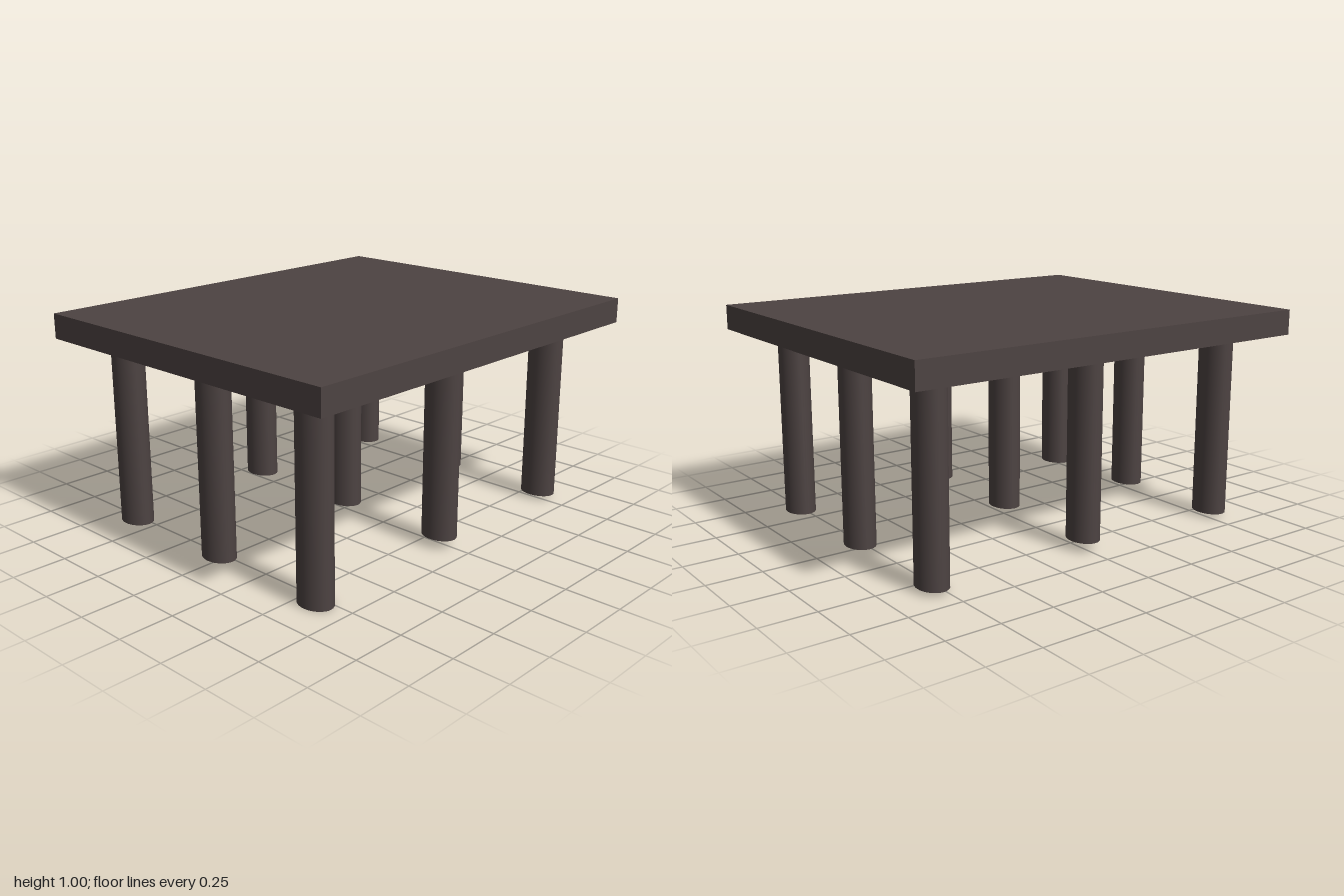
import * as THREE from 'three';

export function createModel() {
  const model = new THREE.Group();
  const darkWood = new THREE.MeshStandardMaterial({ color: 0x4d4342 });
  darkWood.name = 'dark wood';

  // Flat rectangular top
  const underside = 0.885;
  const top = new THREE.Mesh(new THREE.BoxGeometry(2, 1 - underside, 1.66), darkWood);
  top.name = 'tableTop';
  top.position.y = (1 + underside) / 2;
  model.add(top);

  // Oval legs of slightly uneven length, in three columns of three
  const legs = new THREE.Group();
  legs.name = 'legs';
  const legGeometry = new THREE.CylinderGeometry(1, 1, 1, 32);
  const addLeg = (x, z, foot) => {
    const leg = new THREE.Mesh(legGeometry, darkWood);
    leg.name = 'leg';
    leg.scale.set(0.067, underside - foot, 0.086);
    leg.position.set(x, (underside + foot) / 2, z);
    legs.add(leg);
  };
  const columns = [
    { x: -0.795, foot: 0.02, shift: 0 },
    { x: -0.008, foot: 0.045, shift: 0.007 },
    { x: 0.786, foot: 0.02, shift: 0 },
  ];
  for (const { x, foot, shift } of columns) {
    for (const z of [-0.581, 0.002, 0.583]) {
      const longest = x < -0.5 && z > 0.5; // one front corner reaches the ground
      addLeg(longest ? -0.788 : x, z + shift, longest ? 0 : foot);
    }
  }
  model.add(legs);
  return model;
}
